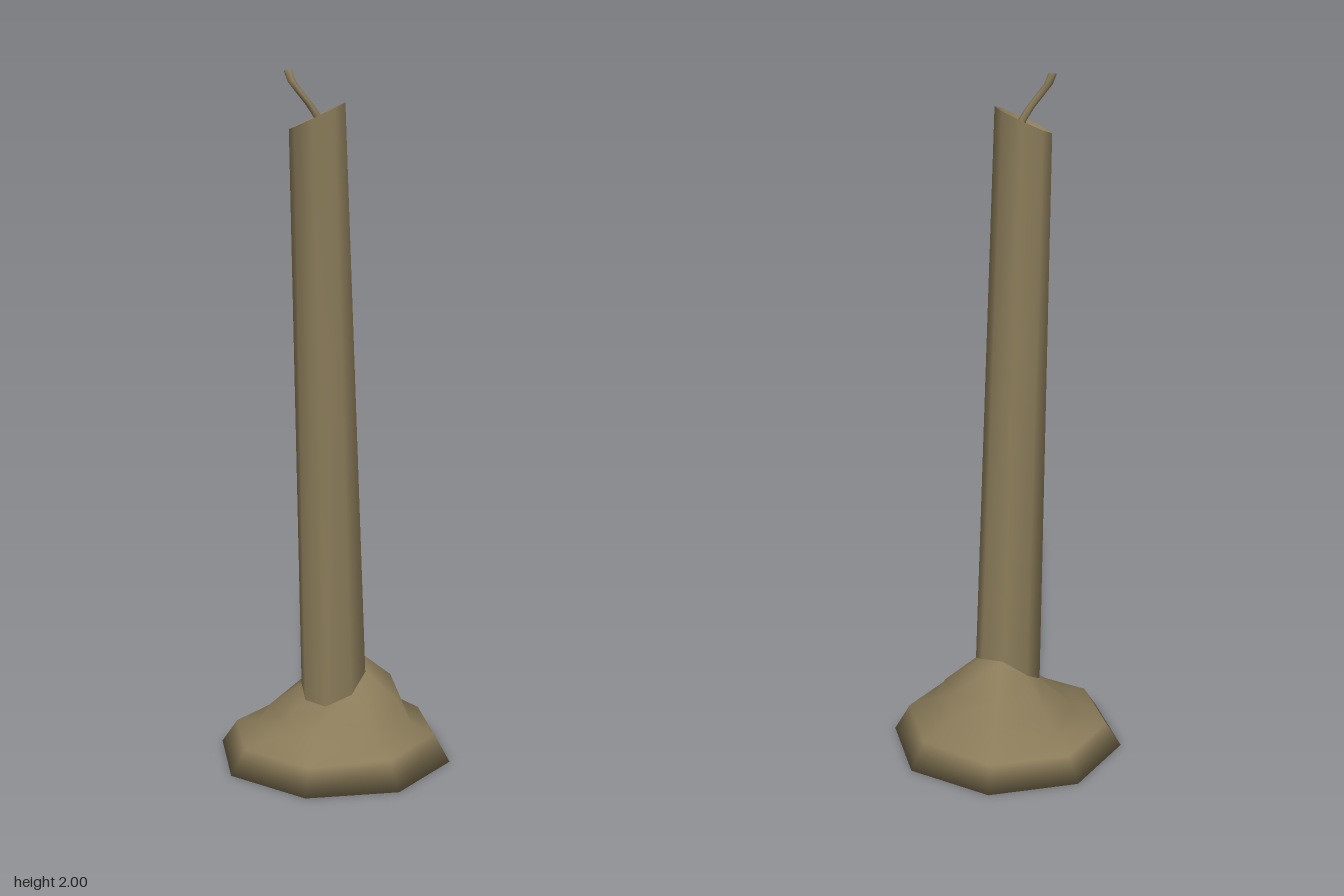
import * as THREE from 'three';

// Ring of points; r and y may be numbers or functions of (index, dx, dz)
function ring(n, cx, cz, r, y, turn = 0) {
  return Array.from({ length: n }, (_, i) => {
    const a = (i / n) * Math.PI * 2 + turn;
    const rad = typeof r === 'function' ? r(i) : r;
    const dx = Math.cos(a) * rad, dz = Math.sin(a) * rad;
    return [cx + dx, typeof y === 'function' ? y(i, dx, dz) : y, cz + dz];
  });
}

// Smooth skin through successive rings
function loft(name, rings, material) {
  const n = rings[0].length, index = [];
  for (let j = 0; j < rings.length - 1; j++) {
    for (let i = 0; i < n; i++) {
      const a = j * n + i, c = j * n + (i + 1) % n, b = a + n, d = c + n;
      index.push(a, b, c, b, d, c);
    }
  }
  const g = new THREE.BufferGeometry();
  g.setAttribute('position', new THREE.Float32BufferAttribute(rings.flat(2), 3));
  g.setIndex(index);
  g.computeVertexNormals();
  const mesh = new THREE.Mesh(g, material);
  mesh.name = name;
  return mesh;
}

export function createModel() {
  const group = new THREE.Group();
  group.name = 'candle';
  const wax = new THREE.MeshStandardMaterial({ color: 0x8b7c5a });
  wax.name = 'tan wax';

  // Octagonal foot with melted wax heaped higher at the back and right
  const footY = [0.11, 0.09, 0.085, 0.08, 0.075, 0.09, 0.125, 0.12];
  const midY = [0.18, 0.155, 0.15, 0.13, 0.13, 0.17, 0.225, 0.205];
  const midR = [0.19, 0.2, 0.2, 0.18, 0.2, 0.19, 0.2, 0.2];
  const neckY = [0.26, 0.21, 0.18, 0.185, 0.21, 0.25, 0.3, 0.29];
  group.add(loft('waxCoveredBase', [
    ring(8, 0, 0, 0, 0),
    ring(8, 0, 0, 0.35, 0),
    ring(8, 0, 0, 0.303, (i) => 0.07 + 0.012 * Math.max(0, Math.cos((i * Math.PI) / 4))),
    ring(8, 0, 0, 0.235, (i) => footY[i]),
    ring(8, 0, 0, (i) => midR[i], (i) => midY[i]),
    ring(8, 0, 0, 0.095, (i) => neckY[i]),
  ], wax));

  // Leaning, tapered candle with a slanted rim
  const cx = -0.04, cz = 0.037, turn = -0.1;
  const rimY = (i, dx, dz) => 1.875 + 0.45 * dx - 0.12 * dz;
  const rim = ring(8, cx, cz, 0.079, rimY, turn);
  group.add(loft('candleStick', [ring(8, 0, 0, 0.099, 0.14), rim], wax));

  // Melted hollow in the top
  group.add(loft('meltedHollow', [
    rim,
    ring(8, cx, cz, 0.06, (i, dx, dz) => rimY(i, dx, dz) - 0.015, turn),
    ring(8, cx, cz, 0.03, 1.845, turn),
    ring(8, cx, cz, 0, 1.84, turn),
  ], wax));

  // Bent wick
  const path = [
    [-0.028, 1.835, 0.04], [-0.034, 1.87, 0.048], [-0.055, 1.905, 0.058],
    [-0.082, 1.94, 0.066], [-0.104, 1.968, 0.066], [-0.116, 1.997, 0.06],
  ];
  const wick = path.map(([x, y, z]) => ring(6, x, z, 0.012, y));
  wick.push(ring(6, -0.117, 0.06, 0, 2));
  group.add(loft('wick', wick, wax));

  return group;
}
